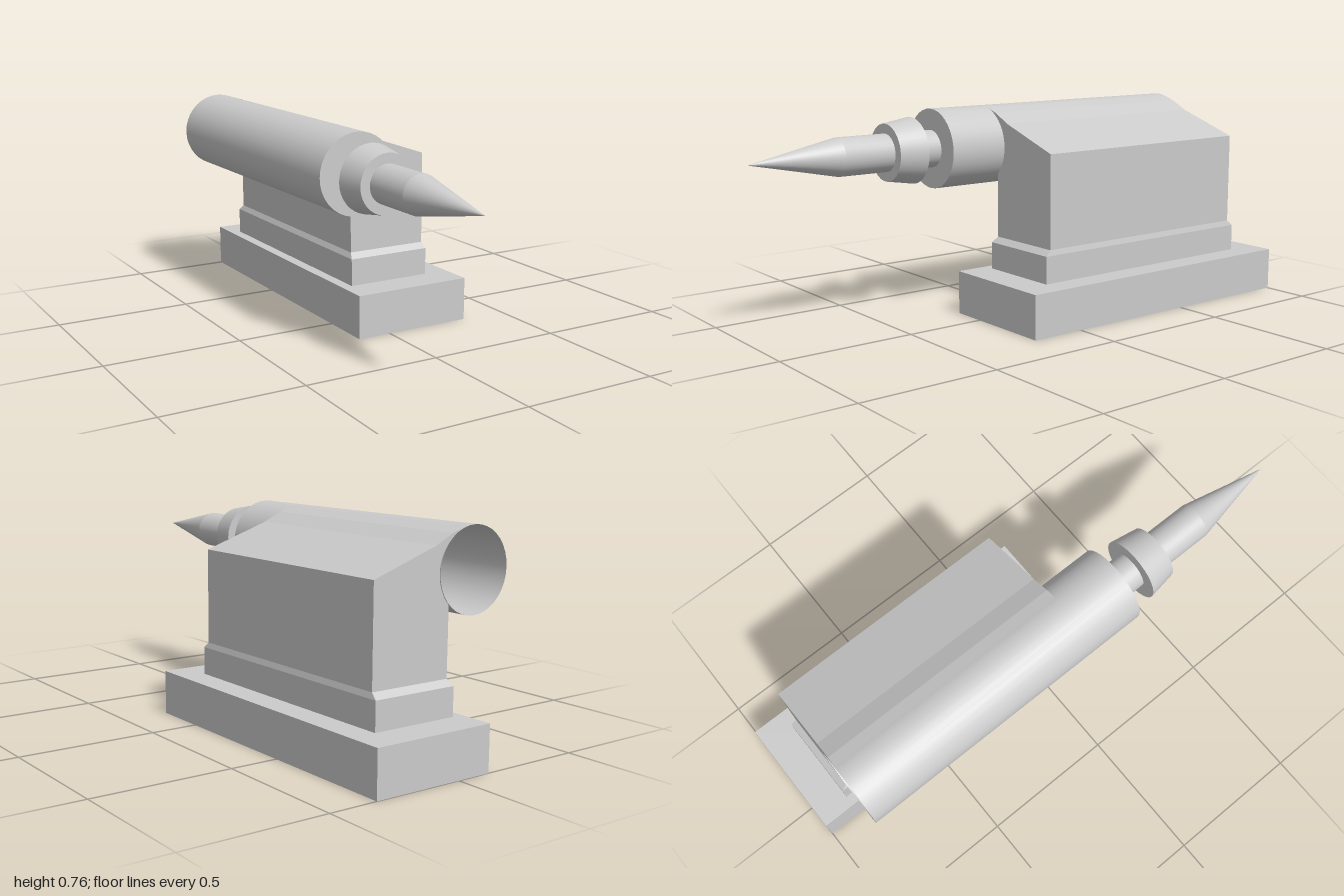
import * as THREE from 'three';

const flat = new THREE.MeshStandardMaterial({ color: 0xcccccc, flatShading: true, side: THREE.DoubleSide });
const smooth = new THREE.MeshStandardMaterial({ color: 0xcccccc, side: THREE.DoubleSide });

const AXIS = { x: -0.182, y: 0.617, r: 0.145 };
const BODY = { x0: -0.078, x1: 0.228, z0: -0.855, z1: 0.06 };

function addMesh(parent, name, geometry, material) {
  const mesh = new THREE.Mesh(geometry, material);
  mesh.name = name;
  parent.add(mesh);
  return mesh;
}

// Quads joining neighbouring rows of points, outward when rows go up and points go counter-clockwise from above
function strip(rows) {
  const pos = [];
  for (let i = 0; i + 1 < rows.length; i++) {
    for (let j = 0; j + 1 < rows[i].length; j++) {
      const a = rows[i][j], b = rows[i][j + 1], c = rows[i + 1][j + 1], d = rows[i + 1][j];
      pos.push(...a, ...b, ...c, ...a, ...c, ...d);
    }
  }
  const g = new THREE.BufferGeometry();
  g.setAttribute('position', new THREE.Float32BufferAttribute(pos, 3));
  g.computeVertexNormals();
  return g;
}

// Closed rectangular loop at height y
const ring = (y, x0, x1, z0, z1) =>
  [[x0, y, z1], [x1, y, z1], [x1, y, z0], [x0, y, z0], [x0, y, z1]];

export function createModel() {
  const model = new THREE.Group();
  model.name = 'barrelOnPedestal';

  // Hollow stepped foot, open underneath
  const base = [-0.127, 0.327, -1, 0.205];
  const plinth = [-0.087, 0.233, -0.878, 0.082];
  const foot = [BODY.x0, BODY.x1, BODY.z0, BODY.z1];
  addMesh(model, 'base', strip([ring(0, ...base), ring(0.16, ...base), ring(0.16, ...plinth)]), flat);
  addMesh(model, 'plinth', strip([ring(0.16, ...plinth), ring(0.26, ...plinth), ring(0.28, ...foot)]), flat);

  // Housing: right wall, sloping roof flowing onto the barrel, and left wall below the barrel
  const body = new THREE.Group();
  body.name = 'housing';
  model.add(body);
  const roof = [[BODY.x1, 0.28], [BODY.x1, 0.62], [-0.02, 0.705], [-0.09, 0.74], [-0.135, 0.754]];
  const wall = [[BODY.x0, 0.516], [BODY.x0, 0.28]];
  const extrude = (pts) => strip(pts.map(([x, y]) => [[x, y, BODY.z1], [x, y, BODY.z0]]));
  addMesh(body, 'roofAndSide', extrude(roof), flat);
  addMesh(body, 'innerSide', extrude(wall), flat);

  // End walls, cut round where they meet the barrel
  const shape = new THREE.Shape(roof.map(([x, y]) => new THREE.Vector2(x, y)));
  shape.absarc(AXIS.x, AXIS.y, AXIS.r, 1.24, -0.775, true);
  shape.lineTo(BODY.x0, 0.28);
  for (const [name, z] of [['frontWall', BODY.z1], ['backWall', BODY.z0]]) {
    const end = addMesh(body, name, new THREE.ShapeGeometry(shape, 14), flat);
    end.position.z = z;
  }

  // Barrel and spike turned about one axis along z: [radius, z] runs
  const turned = new THREE.Group();
  turned.name = 'barrelAssembly';
  turned.position.set(AXIS.x, AXIS.y, 0);
  model.add(turned);
  const runs = {
    barrel: [[AXIS.r, -0.858], [AXIS.r, 0.285]],
    barrelFront: [[AXIS.r, 0.285], [0, 0.285]],
    neck: [[0.068, 0.285], [0.068, 0.67]],
    collarBack: [[0.068, 0.37], [0.12, 0.37]],
    collar: [[0.12, 0.37], [0.103, 0.477]],
    collarFront: [[0.103, 0.477], [0.068, 0.477]],
    tip: [[0.068, 0.67], [0, 1]],
  };
  for (const [name, pts] of Object.entries(runs)) {
    const g = new THREE.LatheGeometry(pts.map(([r, z]) => new THREE.Vector2(r, z)), 36);
    g.rotateX(Math.PI / 2);
    addMesh(turned, name, g, smooth);
  }
  return model;
}
